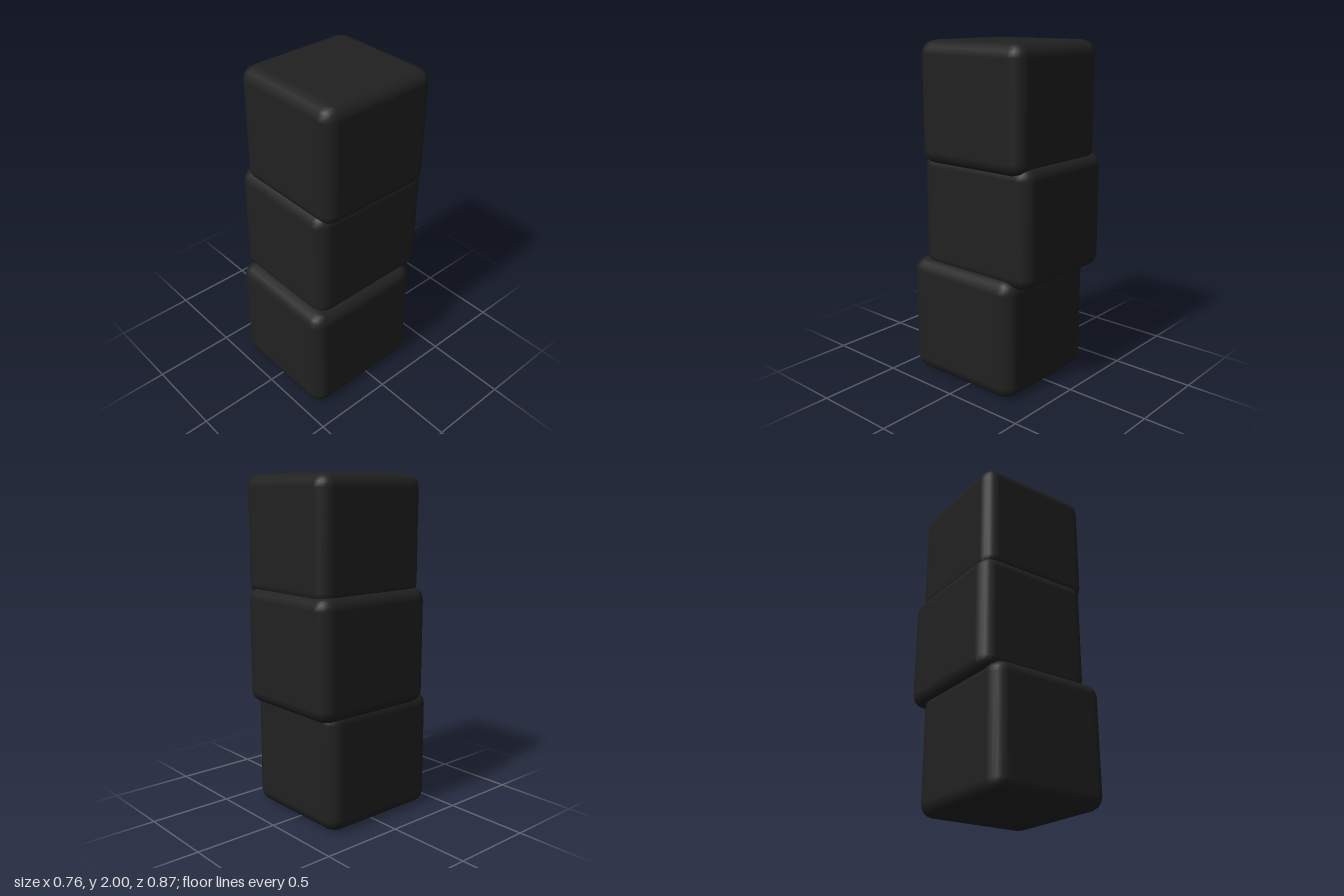
import * as THREE from 'three';
import { RoundedBoxGeometry } from 'three/addons/geometries/RoundedBoxGeometry.js';

export function createModel() {
  const group = new THREE.Group();
  group.name = 'blockStack';

  const charcoal = new THREE.MeshStandardMaterial({ color: 0x212121 });
  charcoal.name = 'charcoal';

  // One soft-edged cube, stretched to each block's extents
  const cube = new RoundedBoxGeometry(1, 1, 1, 2, 0.11);

  // Adds a block spanning the corners min and max
  function addBlock(name, min, max) {
    const box = new THREE.Box3(new THREE.Vector3(...min), new THREE.Vector3(...max));
    const block = new THREE.Mesh(cube, charcoal);
    block.name = name;
    box.getCenter(block.position);
    box.getSize(block.scale);
    group.add(block);
  }

  // Three overlapping blocks, each shifted a little from the one below
  addBlock('bottomBlock', [-0.348, 0, -0.345], [0.38, 0.717, 0.434]);
  addBlock('middleBlock', [-0.382, 0.663, -0.434], [0.336, 1.362, 0.367]);
  addBlock('topBlock', [-0.348, 1.3, -0.405], [0.369, 2, 0.345]);

  return group;
}
